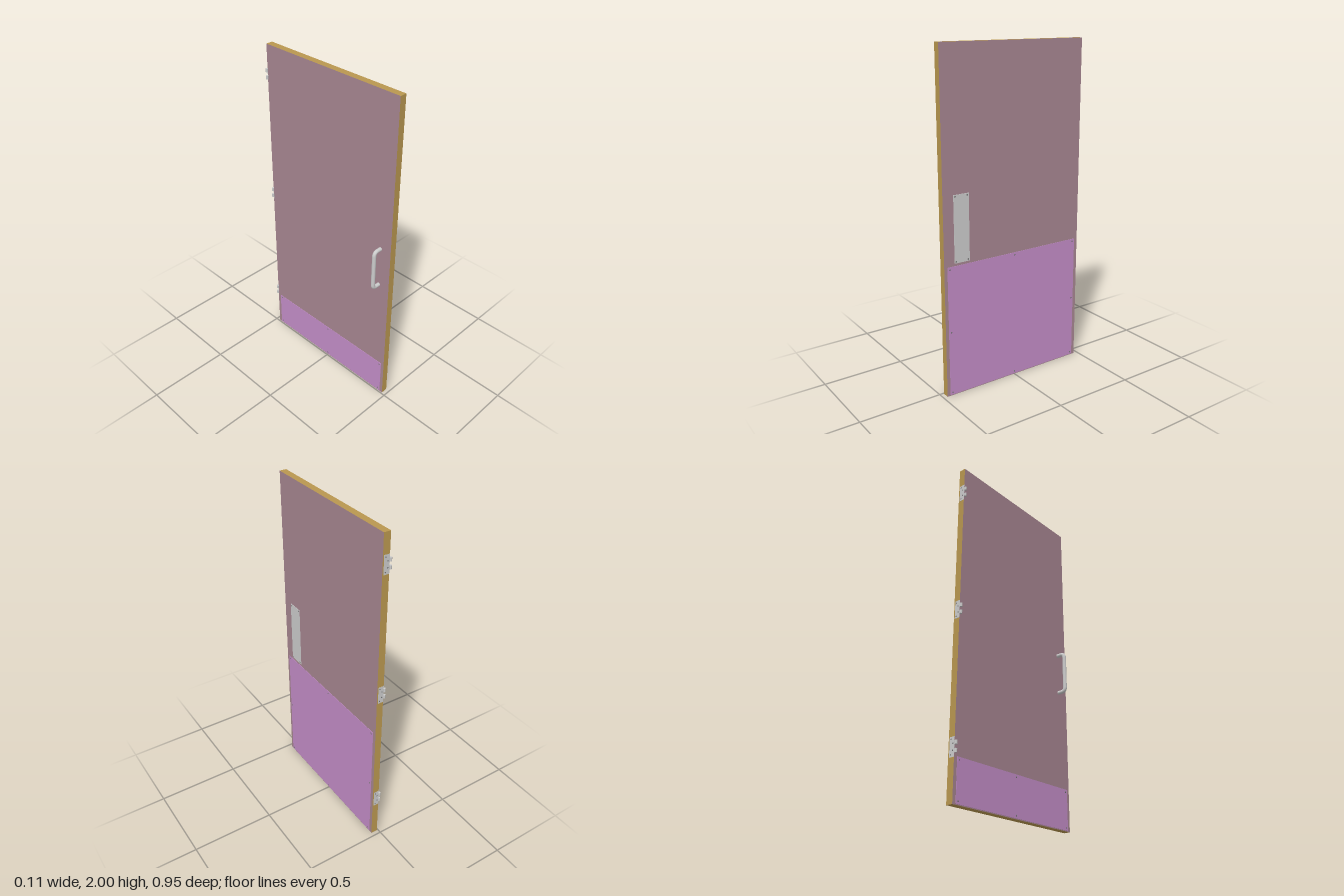
import * as THREE from 'three';

const FRONT = 0.049, BACK = 0.008; // the two door faces along x
const HALF = 0.475;

const mat = (color, extra = {}) => new THREE.MeshStandardMaterial({ color, ...extra });
const steel = mat(0xcccccc);
const plateMat = mat(0xc28cc6);
const faceMat = mat(0xa68590);
const edgeMat = mat(0xb9974f);
const screwMat = mat(0x777777);

function add(parent, name, geometry, material, x = 0, y = 0, z = 0) {
  const mesh = new THREE.Mesh(geometry, material);
  mesh.name = name;
  mesh.position.set(x, y, z);
  parent.add(mesh);
  return mesh;
}

// Flat plate on a door face (side +1 front, -1 back) with screws around it
function facePlate(parent, name, material, side, z0, z1, y0, y1, thick, screws) {
  const g = new THREE.Group();
  g.name = name;
  parent.add(g);
  const face = side > 0 ? FRONT : BACK;
  add(g, 'plate', new THREE.BoxGeometry(thick, y1 - y0, z1 - z0), material,
    face + side * thick / 2, (y0 + y1) / 2, (z0 + z1) / 2);
  for (const [z, y] of screws) {
    const screw = add(g, 'screw', new THREE.SphereGeometry(0.005, 12, 4, 0, Math.PI * 2, 0, Math.PI / 2),
      screwMat, face + side * thick, y, z);
    screw.scale.y = 0.3;
    screw.rotation.z = -side * Math.PI / 2;
  }
}

// Screw positions around the border of a rectangle
function border(zs, ys) {
  const list = [];
  zs.forEach((z, i) => ys.forEach((y, j) => {
    const inner = i > 0 && i < zs.length - 1 && j > 0 && j < ys.length - 1;
    if (!inner) list.push([z, y]);
  }));
  return list;
}

// Half hinge: leaf on the door edge with two knuckles
function hinge(y) {
  const g = new THREE.Group();
  g.name = 'hinge';
  g.position.set(0, y, -HALF);
  add(g, 'leaf', new THREE.BoxGeometry(0.034, 0.106, 0.004), steel, 0.025, 0, 0.0012);
  for (const s of [-1, 1]) {
    add(g, 'knuckle', new THREE.CylinderGeometry(0.007, 0.007, 0.021, 20), steel, 0, s * 0.021, 0.003);
    add(g, 'knuckleArm', new THREE.BoxGeometry(0.012, 0.021, 0.004), steel, 0.005, s * 0.021, 0.0012);
    for (const [x, dy] of [[0.019, 0.018], [0.032, 0.04]]) {
      const screw = add(g, 'hingeScrew', new THREE.CylinderGeometry(0.004, 0.004, 0.001, 12),
        screwMat, x, s * dy, -0.001);
      screw.rotation.x = Math.PI / 2;
    }
  }
  return g;
}

// Round bar bent into a U, standing off the back face
function pullHandle() {
  const out = -0.0415, low = 0.83, high = 1.077, bend = 0.025;
  const v = (x, y) => new THREE.Vector3(x, y, 0.402);
  const path = new THREE.CurvePath();
  path.add(new THREE.LineCurve3(v(BACK, low), v(out + bend, low)));
  path.add(new THREE.QuadraticBezierCurve3(v(out + bend, low), v(out, low), v(out, low + bend)));
  path.add(new THREE.LineCurve3(v(out, low + bend), v(out, high - bend)));
  path.add(new THREE.QuadraticBezierCurve3(v(out, high - bend), v(out, high), v(out + bend, high)));
  path.add(new THREE.LineCurve3(v(out + bend, high), v(BACK, high)));
  return new THREE.TubeGeometry(path, 90, 0.0115, 18, false);
}

export function createModel() {
  const door = new THREE.Group();
  door.name = 'door';

  // Slab: wide faces and lighter wooden edges
  add(door, 'doorSlab', new THREE.BoxGeometry(FRONT - BACK, 2, HALF * 2),
    [faceMat, faceMat, edgeMat, edgeMat, edgeMat, edgeMat], (FRONT + BACK) / 2, 1, 0);

  // Kick plates: tall on the push side, short on the pull side
  facePlate(door, 'frontKickPlate', plateMat, 1, -0.453, 0.455, 0.005, 0.79, 0.002,
    border([-0.438, 0, 0.44], [0.02, 0.398, 0.775]));
  facePlate(door, 'backKickPlate', plateMat, -1, -0.453, 0.455, 0.005, 0.24, 0.002,
    border([-0.438, 0, 0.44], [0.02, 0.225]));

  // Push plate and pull handle
  facePlate(door, 'pushPlate', steel, 1, 0.31, 0.408, 0.805, 1.196, 0.0025,
    border([0.32, 0.398], [0.815, 1.186]));
  add(door, 'pullHandle', pullHandle(), steel);

  for (const y of [0.286, 1.058, 1.83]) door.add(hinge(y));
  return door;
}
